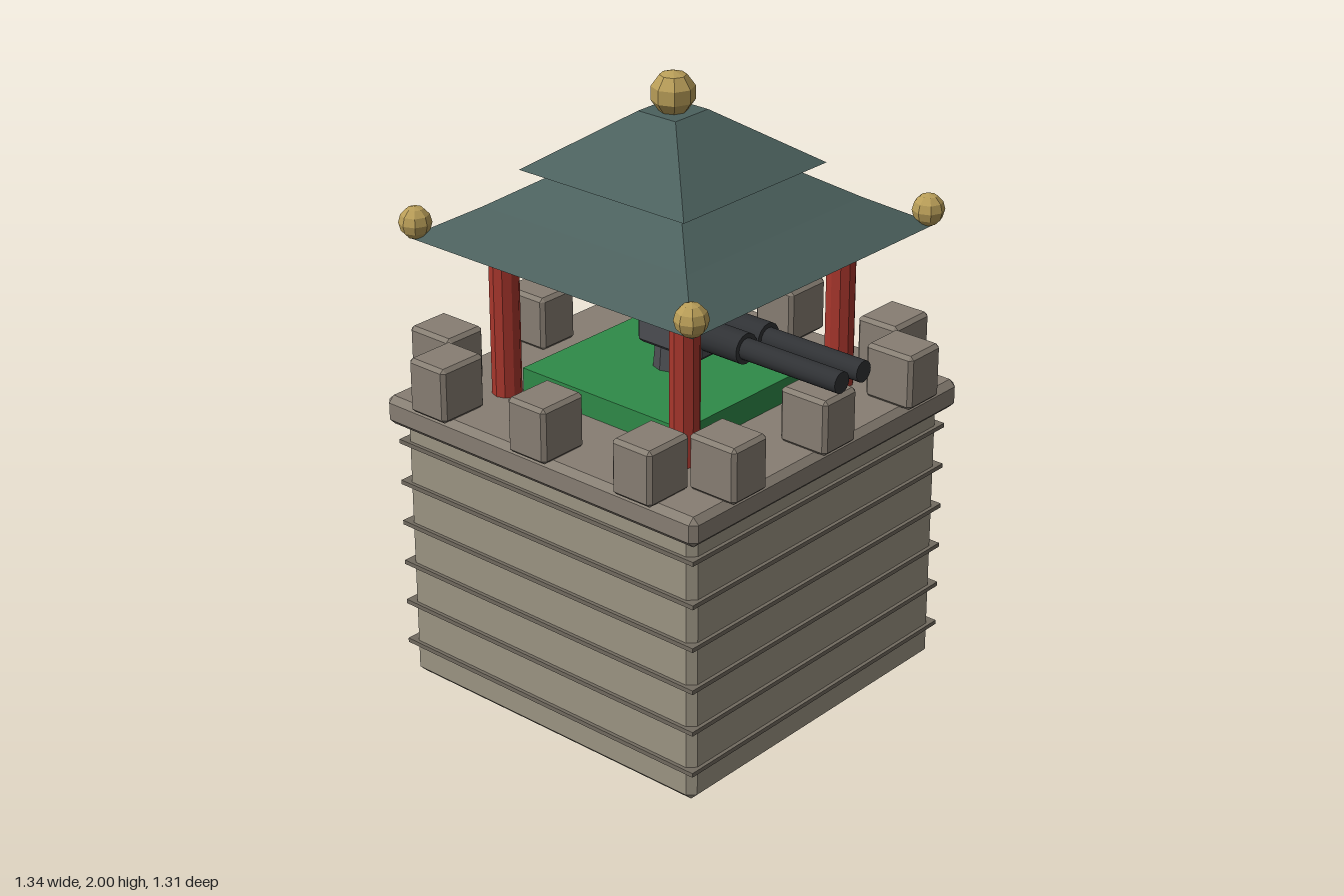
import * as THREE from 'three';
import { ConvexGeometry } from 'three/addons/geometries/ConvexGeometry.js';

const mat = (color, flatShading = true) => {
  const m = new THREE.MeshStandardMaterial({ color });
  m.flatShading = flatShading;
  return m;
};

// Box with every edge chamfered by c
function chamferBox(w, h, d, c) {
  const pts = [];
  for (const sx of [-1, 1]) for (const sy of [-1, 1]) for (const sz of [-1, 1]) {
    for (let axis = 0; axis < 3; axis++) {
      const cut = [c, c, c];
      cut[axis] = 0;
      pts.push(new THREE.Vector3(sx * (w / 2 - cut[0]), sy * (h / 2 - cut[1]), sz * (d / 2 - cut[2])));
    }
  }
  return new ConvexGeometry(pts);
}

// Square solid from [half width, height] pairs, bottom to top
function squareLathe(profile) {
  const pts = profile.map(([half, y]) => new THREE.Vector2(half * Math.SQRT2, y));
  return new THREE.LatheGeometry(pts, 4).rotateY(Math.PI / 4);
}

export function createModel() {
  const model = new THREE.Group();
  model.name = 'watchtower';
  const tower = new THREE.Group();
  tower.name = 'tower';
  tower.position.x = -0.022;
  model.add(tower);

  const stone = mat(0x9c9483), trim = mat(0x877e73), bandStone = mat(0x726b60);
  const red = mat(0xa8362c), gold = mat(0xb89d58), roofMat = mat(0x4b605d);
  const green = mat(0x2f8a48), gunMat = mat(0x4b4d51), barrelMat = mat(0x303235, false);
  const lampMat = mat(0xdd2f2a);

  const add = (parent, name, geometry, material, x, y, z) => {
    const mesh = new THREE.Mesh(geometry, material);
    mesh.name = name;
    mesh.position.set(x, y, z);
    parent.add(mesh);
    return mesh;
  };

  // Stone base with thin courses
  add(tower, 'body', chamferBox(1.17, 0.89, 1.17, 0.024), stone, 0, 0.445, 0);
  const band = new THREE.BoxGeometry(1.194, 0.014, 1.194);
  for (let i = 0; i < 6; i++) add(tower, 'stoneCourse', band, bandStone, 0, 0.113 + i * 0.141, 0);
  add(tower, 'parapetSlab', chamferBox(1.25, 0.096, 1.25, 0.02), trim, 0, 0.928, 0);

  // Three merlons on each of four sides
  const merlon = chamferBox(0.15, 0.178, 0.174, 0.012);
  for (let side = 0; side < 4; side++) {
    const wall = new THREE.Group();
    wall.name = 'merlonRow';
    wall.rotation.y = side * Math.PI / 2;
    for (const x of [-0.41, 0, 0.41]) add(wall, 'merlon', merlon, trim, x, 1.064, 0.566);
    tower.add(wall);
  }

  // Deck, posts and corner ornaments
  add(tower, 'deck', new THREE.BoxGeometry(0.65, 0.085, 0.65), green, 0, 1.0125, 0);
  const post = new THREE.CylinderGeometry(0.047, 0.047, 0.53, 10);
  const knob = new THREE.SphereGeometry(0.051, 8, 6);
  for (const sx of [-1, 1]) for (const sz of [-1, 1]) {
    add(tower, 'post', post, red, sx * 0.36, 1.235, sz * 0.36);
    add(tower, 'cornerKnob', knob, gold, sx * 0.543, 1.542, sz * 0.543);
  }

  // Two-tier roof
  add(tower, 'lowerRoof', squareLathe([[0, 1.494], [0.56, 1.494], [0.4, 1.587], [0.222, 1.702], [0, 1.702]]), roofMat, 0, 0, 0);
  add(tower, 'upperRoof', squareLathe([[0, 1.7], [0.323, 1.7], [0.073, 1.876], [0, 1.876]]), roofMat, 0, 0, 0);
  add(tower, 'finial', new THREE.SphereGeometry(0.07, 8, 5), gold, 0, 1.93, 0);

  // Twin-barrel gun on a pedestal
  const gun = new THREE.Group();
  gun.name = 'gun';
  model.add(gun);
  add(gun, 'pedestal', new THREE.CylinderGeometry(0.055, 0.065, 0.11, 10), gunMat, -0.022, 1.1, 0);
  add(gun, 'housing', chamferBox(0.253, 0.15, 0.2, 0.014), gunMat, 0.04, 1.22, 0);
  const tube = (r, length) => new THREE.CylinderGeometry(r, r, length, 16).rotateZ(-Math.PI / 2);
  const sleeve = tube(0.049, 0.16), barrel = tube(0.034, 0.5);
  for (const z of [-0.051, 0.051]) {
    add(gun, 'barrelSleeve', sleeve, barrelMat, 0.23, 1.222, z);
    add(gun, 'barrel', barrel, barrelMat, 0.418, 1.222, z);
  }
  add(gun, 'lamp', new THREE.SphereGeometry(0.03, 8, 6), lampMat, 0.13, 1.322, 0);

  return model;
}
